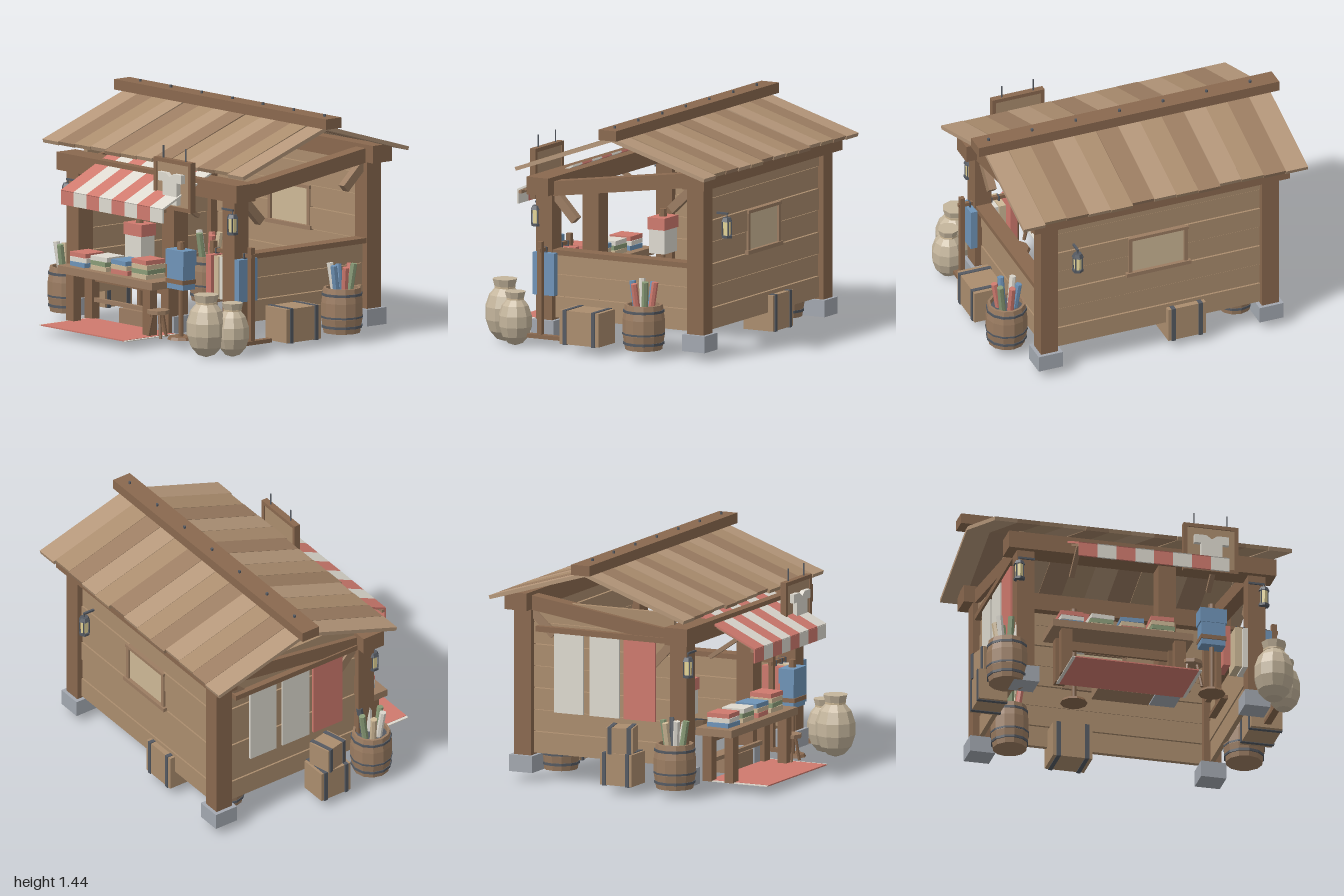
import * as THREE from 'three';

const C = { dark: 0x8a694f, mid: 0x9c7d62, light: 0xb5977a, wall: 0xab8d6e, red: 0xcf7a6e, white: 0xdedad0,
  blue: 0x6f94b8, green: 0x8a9c78, tan: 0xcdb896, sack: 0xc4b59c, iron: 0x555a62, stone: 0xa3a8b0, glow: 0xe6d79a };
const mats = {};
const mat = (c) => (mats[c] ??= new THREE.MeshStandardMaterial({ color: C[c], flatShading: true }));

export function createModel() {
  const root = new THREE.Group();
  const group = (name, x = 0, y = 0, z = 0, parent = root) => {
    const g = new THREE.Group();
    g.name = name;
    g.position.set(x, y, z);
    parent.add(g);
    return g;
  };
  const add = (name, geo, c, x, y, z, parent = root) => {
    const m = new THREE.Mesh(geo, mat(c));
    m.name = name;
    m.position.set(x, y, z);
    parent.add(m);
    return m;
  };
  // box given by its extents
  const box = (name, c, x0, x1, y0, y1, z0, z1, p = root) =>
    add(name, new THREE.BoxGeometry(x1 - x0, y1 - y0, z1 - z0), c, (x0 + x1) / 2, (y0 + y1) / 2, (z0 + z1) / 2, p);
  const cyl = (name, c, r0, r1, h, n, x, y, z, p = root) =>
    add(name, new THREE.CylinderGeometry(r1, r0, h, n), c, x, y, z, p);
  // sloping beam in the y-z plane, from [z, y] to [z, y]
  const slope = (name, c, x, w, t, a, b, p = root) => {
    const dz = b[0] - a[0], dy = b[1] - a[1];
    const m = add(name, new THREE.BoxGeometry(w, t, Math.hypot(dz, dy)), c, x, (a[1] + b[1]) / 2, (a[0] + b[0]) / 2, p);
    m.rotation.x = -Math.atan2(dy, dz);
    return m;
  };

  // posts on stone footings
  const posts = [[-0.735, 0.368, 1.0], [0.165, 0.368, 1.0], [0.735, 0.368, 1.0], [-0.735, -0.71, 1.13], [0.735, -0.71, 1.13]];
  for (const [x, z, top] of posts) {
    box('post', 'dark', x - 0.056, x + 0.056, 0.1, top, z - 0.058, z + 0.058);
    box('footing', 'stone', x - 0.08, x + 0.08, 0.055, 0.16, z - 0.08, z + 0.08);
  }
  // beams and braces
  box('frontBeam', 'dark', -0.85, 0.85, 0.945, 1.055, 0.305, 0.46);
  box('backBeam', 'dark', -0.85, 0.85, 1.075, 1.185, -0.805, -0.65);
  for (const x of [-0.735, 0.735]) {
    slope('sideBeam', 'dark', x, 0.09, 0.09, [0.32, 0.98], [-0.67, 1.12]);
    slope('brace', 'mid', x, 0.05, 0.055, [0.32, 0.95], [0.17, 0.79]);
    slope('brace', 'mid', x, 0.05, 0.055, [-0.66, 1.06], [-0.51, 0.92]);
  }

  // plank walls: back and right are full height, left is a half wall with a rail
  for (let i = 0; i < 7; i++) {
    const y0 = 0.172 + i * 0.137, y1 = y0 + 0.132, d = (i % 2) * 0.006;
    if (i === 3 || i === 4) {
      box('backPlank', 'wall', -0.69, -0.18, y0, y1, -0.735 + d, -0.705 + d);
      box('backPlank', 'wall', 0.18, 0.69, y0, y1, -0.735 + d, -0.705 + d);
    } else box('backPlank', 'wall', -0.69, 0.69, y0, y1, -0.735 + d, -0.705 + d);
    box('sidePlank', 'wall', -0.75 + d, -0.72 + d, y0, y1, -0.66, 0.32);
    if (i < 3) box('halfWallPlank', 'wall', 0.72 - d, 0.75 - d, y0, y1, -0.66, 0.32);
  }
  box('halfWallRail', 'dark', 0.685, 0.785, 0.57, 0.602, -0.66, 0.32);
  // window
  box('windowPane', 'tan', -0.18, 0.18, 0.6, 0.83, -0.73, -0.71);
  for (const s of [-1, 1]) box('windowJamb', 'mid', s * 0.185 - 0.012, s * 0.185 + 0.012, 0.59, 0.84, -0.745, -0.695);
  box('windowSill', 'mid', -0.215, 0.215, 0.575, 0.6, -0.755, -0.685);
  box('windowHead', 'mid', -0.2, 0.2, 0.83, 0.85, -0.75, -0.69);

  // roof planks, ridge and pegs
  for (let i = 0; i < 13; i++) {
    const x = -0.875 + i * 0.1455, c = ['mid', 'light', 'wall'][(i * 2 + 1) % 3], j = ((i * 5) % 4) * 0.005;
    slope('frontRoofPlank', c, x, 0.145, 0.024, [-0.2, 1.356 + j / 2], [0.485 - j, 1.115 + j / 2]);
    slope('backRoofPlank', c, x, 0.145, 0.024, [-0.2, 1.356 + j / 2], [-0.86 + j, 1.16 + j / 2]);
  }
  box('ridgeBeam', 'dark', -1, 1, 1.36, 1.425, -0.265, -0.14);
  for (let i = 0; i < 7; i++) cyl('ridgePeg', 'iron', 0.009, 0.009, 0.03, 6, -0.83 + i * 0.29, 1.425, -0.205);

  // striped awning with hanging edge and struts
  const awning = group('awning');
  for (let i = 0; i < 8; i++) {
    const x = -0.42 + i * 0.12, c = i % 2 ? 'white' : 'red';
    slope('awningStripe', c, x, 0.12, 0.012, [0.345, 1.075], [0.74, 0.89], awning);
    box('awningEdge', c, x - 0.06, x + 0.06, 0.805, 0.89, 0.73, 0.742, awning);
  }
  for (const x of [-0.44, 0.43]) {
    slope('awningStrut', 'mid', x, 0.03, 0.025, [0.41, 0.81], [0.6, 0.94], awning);
    slope('awningArm', 'mid', x, 0.025, 0.02, [0.4, 1.035], [0.725, 0.885], awning);
  }
  box('awningPole', 'mid', -0.48, 0.48, 0.87, 0.89, 0.71, 0.73, awning);

  // hanging sign with a shirt cutout
  const sign = group('sign', 0.4, 1.02, 0.575);
  box('signBoard', 'wall', -0.16, 0.16, -0.14, 0.14, -0.012, 0.012, sign);
  for (const s of [-1, 1]) {
    box('signFrame', 'dark', s * 0.162 - 0.012, s * 0.162 + 0.012, -0.15, 0.155, -0.02, 0.02, sign);
    box('signFrame', 'dark', -0.174, 0.174, s * 0.145 - 0.012, s * 0.145 + 0.012, -0.02, 0.02, sign);
    cyl('signRod', 'iron', 0.005, 0.005, 0.09, 6, s * 0.105, 0.19, 0, sign);
  }
  const half = [[0.035, 0.075], [0.11, 0.075], [0.11, 0.02], [0.068, 0.02], [0.068, -0.12]];
  const outline = [...half, ...half.map(([x, y]) => [-x, y]).reverse(), [0, 0.05]];
  const shirt = new THREE.Shape(outline.map(([x, y]) => new THREE.Vector2(x, y)));
  add('shirtCutout', new THREE.ExtrudeGeometry(shirt, { depth: 0.03, bevelEnabled: false }), 'white', 0, 0, 0.012, sign);

  // lanterns
  const lantern = (x, z, bx, bz) => {
    const g = group('lantern', x, 0.8, z);
    cyl('lanternGlass', 'glow', 0.024, 0.027, 0.09, 6, 0, 0, 0, g);
    cyl('lanternBase', 'iron', 0.036, 0.036, 0.016, 6, 0, -0.052, 0, g);
    cyl('lanternCap', 'iron', 0.038, 0.026, 0.025, 6, 0, 0.055, 0, g);
    for (let i = 0; i < 4; i++) {
      const a = Math.PI * (i / 2 + 0.25);
      box('lanternBar', 'iron', -0.003, 0.003, -0.05, 0.05, -0.003, 0.003, g).position.set(Math.cos(a) * 0.03, 0, Math.sin(a) * 0.03);
    }
    cyl('lanternHook', 'iron', 0.004, 0.004, 0.035, 5, 0, 0.08, 0, g);
    box('lanternBracket', 'iron', Math.min(0, bx) - 0.007, Math.max(0, bx) + 0.007, 0.085, 0.097, Math.min(0, bz) - 0.007, Math.max(0, bz) + 0.007, g);
  };
  lantern(-0.778, 0.43, 0.09, 0);
  lantern(0.778, 0.43, -0.09, 0);
  lantern(0.56, -0.8, 0, 0.08);

  // counter with folded cloth
  const counter = group('counter');
  box('counterTop', 'mid', -0.62, 0.275, 0.35, 0.397, 0.4, 0.65, counter);
  for (const x of [-0.525, 0.195]) for (const z of [0.45, 0.6]) box('counterLeg', 'dark', x - 0.035, x + 0.035, 0.055, 0.35, z - 0.03, z + 0.03, counter);
  box('counterStretcher', 'mid', -0.5, 0.2, 0.165, 0.19, 0.44, 0.465, counter);
  box('counterApron', 'dark', -0.5, 0.2, 0.29, 0.35, 0.435, 0.455, counter);
  box('storageBox', 'mid', -0.28, 0.08, 0.056, 0.15, 0.28, 0.44, counter);
  [['blue', 'white', 'red'], ['tan', 'green', 'white'], ['red', 'tan', 'blue'], ['tan', 'green', 'tan', 'red']].forEach((stack, s) =>
    stack.forEach((c, i) => {
      const m = add('foldedCloth', new THREE.BoxGeometry(0.146, 0.028, 0.15), c, -0.485 + s * 0.193, 0.412 + i * 0.03, 0.525, counter);
      m.rotation.y = ((i * 2 + s) % 3 - 1) * 0.05;
    }));

  // floor rug with pale ends
  box('floorRug', 'red', -0.53, 0.255, 0.052, 0.06, 0.45, 0.86);
  for (const x of [-0.54, 0.265]) box('rugFringe', 'white', x - 0.01, x + 0.01, 0.052, 0.058, 0.45, 0.86);

  // rugs hung outside the right wall
  box('rugRail', 'dark', -0.79, -0.75, 0.94, 0.975, -0.62, 0.3);
  [['white', -0.5, -0.3], ['white', -0.255, -0.05], ['red', -0.02, 0.2]].forEach(([c, a, b]) => box('hungRug', c, -0.775, -0.76, 0.44, 0.95, a, b));

  // barrels holding rolled cloth
  const barrel = (x, z, r, colors) => {
    const g = group('barrel', x, 0.055, z);
    const profile = [[0, 0], [r * 0.88, 0], [r, 0.09], [r, 0.19], [r * 0.9, 0.28], [r * 0.78, 0.28], [r * 0.78, 0.24], [0, 0.24]];
    add('barrelBody', new THREE.LatheGeometry(profile.map((p) => new THREE.Vector2(...p)), 12), 'mid', 0, 0, 0, g);
    for (const y of [0.04, 0.24]) cyl('barrelHoop', 'iron', r * 0.98, r * 0.98, 0.016, 12, 0, y, 0, g);
    cyl('barrelHoop', 'iron', r * 1.02, r * 1.02, 0.012, 12, 0, 0.1, 0, g);
    colors.forEach((c, i) => {
      const a = (i / colors.length) * Math.PI * 2 + 0.4, k = r * 0.45;
      const m = cyl('clothRoll', c, 0.021, 0.021, 0.23, 7, Math.cos(a) * k, 0.3 + (i % 3) * 0.008, Math.sin(a) * k, g);
      m.rotation.set(Math.sin(a) * 0.15, 0, -Math.cos(a) * 0.15);
    });
  };
  barrel(-0.84, 0.37, 0.13, ['white', 'green', 'white', 'tan', 'green', 'iron']);
  barrel(-0.585, -0.55, 0.12, ['red', 'green', 'white', 'red', 'tan']);
  barrel(0.865, -0.385, 0.13, ['red', 'blue', 'white', 'blue', 'red', 'green']);

  // crates with iron straps
  const crate = (x, y, z, w, h, d, turn) => {
    const g = group('crate', x, y + h / 2, z);
    g.rotation.y = turn;
    add('crateBody', new THREE.BoxGeometry(w, h, d), 'wall', 0, 0, 0, g);
    for (const s of [-1, 1]) add('crateStrap', new THREE.BoxGeometry(0.026, h + 0.008, d + 0.012), 'iron', s * w * 0.36, 0, 0, g);
  };
  crate(0.87, 0.055, 0.015, 0.28, 0.21, 0.2, Math.PI / 2);
  crate(-0.865, 0.055, 0.02, 0.22, 0.2, 0.18, Math.PI / 2);
  crate(-0.87, 0.255, 0.02, 0.17, 0.16, 0.15, Math.PI / 2 + 0.25);
  crate(-0.18, 0.055, -0.665, 0.25, 0.225, 0.21, 0);

  // tied sacks
  const sack = (x, z, r, h) => {
    const g = group('sack', x, 0, z);
    add('sackBody', new THREE.SphereGeometry(1, 10, 7), 'sack', 0, h * 0.45, 0, g).scale.set(r, h * 0.45, r);
    cyl('sackNeck', 'sack', r * 0.5, r * 0.62, h * 0.14, 8, 0, h * 0.91, 0, g);
    cyl('sackTie', 'tan', r * 0.53, r * 0.53, h * 0.03, 8, 0, h * 0.85, 0, g);
  };
  sack(0.785, 0.65, 0.127, 0.4);
  sack(0.882, 0.52, 0.107, 0.345);

  // dress forms
  const dressForm = (x, z, y0, y1, split, lower, upper, d) => {
    const g = group('dressForm', x, 0, z);
    cyl('formBase', 'dark', 0.085, 0.075, 0.018, 10, 0, 0.064, 0, g);
    cyl('formPole', 'dark', 0.016, 0.016, y0, 8, 0, y0 / 2 + 0.055, 0, g);
    box('formBody', lower, -0.077, 0.077, y0, split, -d, d, g);
    box('formTop', upper, -0.085, 0.085, split, y1, -d - 0.005, d + 0.005, g);
    cyl('formKnob', 'dark', 0.025, 0.022, 0.05, 8, 0, y1 + 0.022, 0, g);
    return g;
  };
  box('formBelt', 'dark', -0.081, 0.081, 0.405, 0.432, -0.055, 0.055, dressForm(0.418, 0.54, 0.37, 0.615, 0.52, 'blue', 'blue', 0.048));
  dressForm(-0.37, 0.195, 0.42, 0.645, 0.57, 'white', 'red', 0.055);

  // clothes rack
  const rack = group('clothesRack');
  box('rackRail', 'dark', 0.48, 0.885, 0.595, 0.618, 0.34, 0.362, rack);
  for (const x of [0.51, 0.862]) {
    box('rackPost', 'dark', x - 0.016, x + 0.016, 0.06, 0.66, 0.335, 0.367, rack);
    box('rackFoot', 'dark', x - 0.022, x + 0.022, 0.055, 0.08, 0.2, 0.5, rack);
  }
  [['red', 0.545], ['tan', 0.62], ['white', 0.67], ['blue', 0.81]].forEach(([c, x]) => {
    box('hangingGarment', c, x - 0.022, x + 0.022, 0.32, 0.585, 0.275, 0.425, rack);
    box('hangerHook', 'iron', x - 0.005, x + 0.005, 0.58, 0.62, 0.335, 0.367, rack);
  });

  // stool
  const stool = group('stool', 0.275, 0, 0.6);
  cyl('stoolSeat', 'mid', 0.07, 0.07, 0.024, 8, 0, 0.215, 0, stool);
  for (let i = 0; i < 3; i++) {
    const a = i * 2.094 + 0.5;
    const leg = cyl('stoolLeg', 'dark', 0.011, 0.011, 0.16, 6, Math.cos(a) * 0.05, 0.133, Math.sin(a) * 0.05, stool);
    leg.rotation.set(-Math.sin(a) * 0.2, 0, Math.cos(a) * 0.2);
  }
  return root;
}
